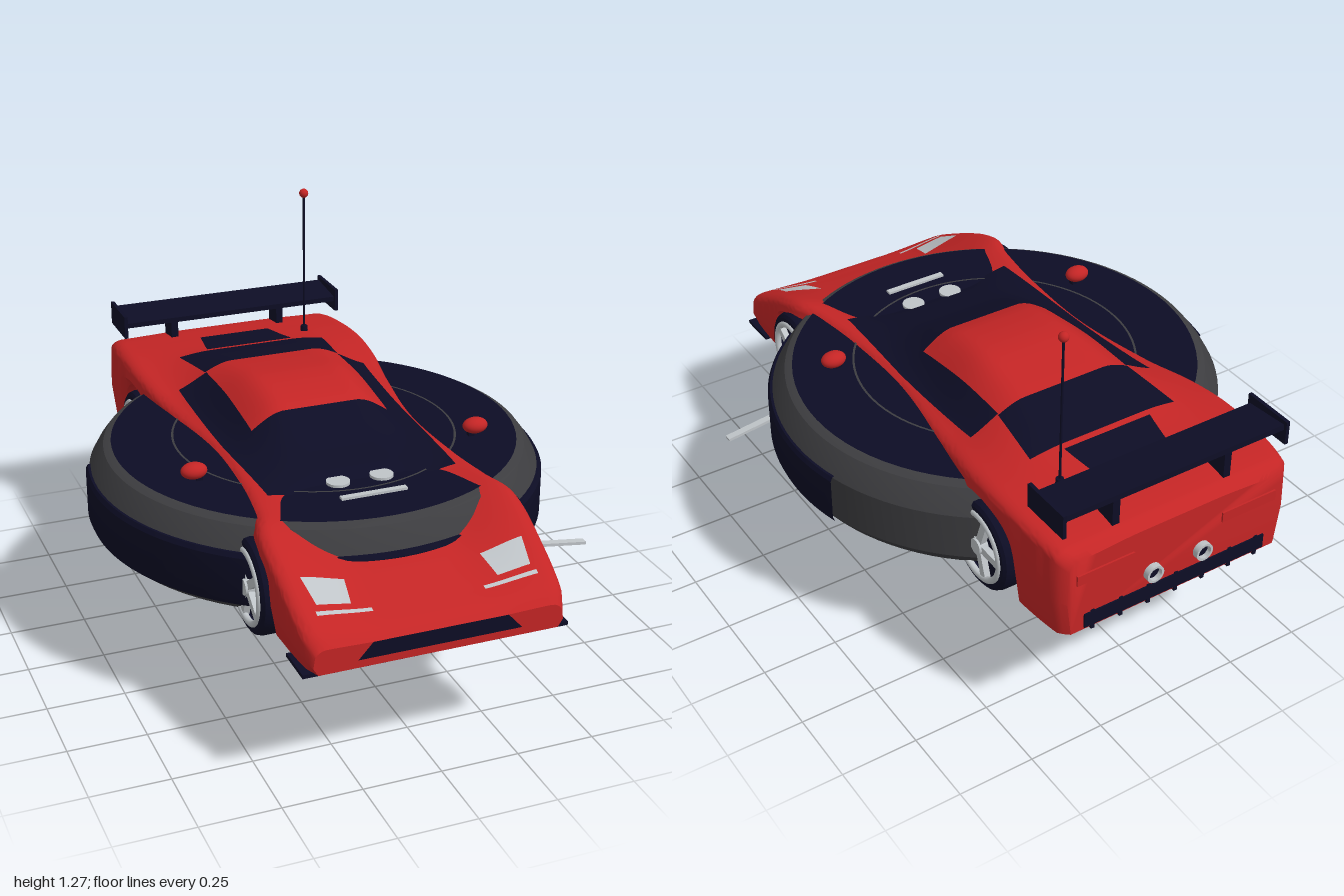
import * as THREE from 'three';
import { toCreasedNormals } from 'three/addons/utils/BufferGeometryUtils.js';

const material = (name, color, side = THREE.FrontSide) => {
  const m = new THREE.MeshStandardMaterial({ color, side });
  m.name = name;
  return m;
};

// Smooth curve through [z, value] pairs with ascending z
function profile(p) {
  const slope = (i) => {
    const a = p[Math.max(i - 1, 0)], b = p[Math.min(i + 1, p.length - 1)];
    return (b[1] - a[1]) / (b[0] - a[0]);
  };
  return (z) => {
    let i = 0;
    while (i < p.length - 2 && z > p[i + 1][0]) i++;
    const h = p[i + 1][0] - p[i][0];
    const t = THREE.MathUtils.clamp((z - p[i][0]) / h, 0, 1), t2 = t * t, t3 = t2 * t;
    return (2 * t3 - 3 * t2 + 1) * p[i][1] + (t3 - 2 * t2 + t) * h * slope(i)
      + (3 * t2 - 2 * t3) * p[i + 1][1] + (t3 - t2) * h * slope(i + 1);
  };
}

// Car shape: half width, fender height and centreline height along z
const halfWidth = profile([[-0.98, 0.385], [-0.95, 0.415], [-0.7, 0.435], [-0.5, 0.425], [-0.3, 0.395],
  [0, 0.355], [0.3, 0.36], [0.5, 0.385], [0.62, 0.415], [0.8, 0.415], [0.95, 0.405], [1, 0.385]]);
const fender = profile([[-0.98, 0.68], [-0.95, 0.71], [-0.8, 0.73], [-0.65, 0.735], [-0.5, 0.725], [-0.3, 0.702],
  [0, 0.692], [0.3, 0.692], [0.5, 0.692], [0.6, 0.688], [0.7, 0.658], [0.8, 0.612], [0.9, 0.56], [0.97, 0.52], [1, 0.49]]);
const centre = profile([[-0.98, 0.69], [-0.95, 0.715], [-0.8, 0.735], [-0.65, 0.752], [-0.5, 0.78], [-0.3, 0.815],
  [-0.15, 0.83], [0, 0.812], [0.1, 0.777], [0.2, 0.735], [0.35, 0.69], [0.45, 0.655], [0.6, 0.62], [0.74, 0.585],
  [0.8, 0.567], [0.9, 0.535], [0.97, 0.51], [1, 0.485]]);

function topY(x, z) {
  const u = Math.min(Math.abs(x) / halfWidth(z), 1), f = fender(z);
  const edge = Math.max(0, (u - 0.9) / 0.1);
  return f + (centre(z) - f) * (1 - THREE.MathUtils.smoothstep(u, 0.35, 0.95))
    - 0.03 * (1 - Math.sqrt(Math.max(0, 1 - edge * edge)));
}

function sill(z) {
  const arch = (zc, r) => Math.abs(z - zc) < r ? 0.498 + Math.sqrt(r * r - (z - zc) ** 2) : 0;
  return Math.min(Math.max(0.412, arch(0.59, 0.15), arch(-0.6, 0.168)), fender(z) - 0.055);
}

function gridGeometry(pos, idx) {
  const g = new THREE.BufferGeometry();
  g.setAttribute('position', new THREE.Float32BufferAttribute(pos, 3));
  g.setIndex(idx);
  g.computeVertexNormals();
  return g;
}

// Shell made from closed rings, front to back, with wheel arches in the lower edge
function bodyGeometry() {
  const pos = [], idx = [], rows = 140, n = 44, ring = n + 5;
  for (let i = 0; i <= rows; i++) {
    const z = 1 - 1.98 * i / rows, w = halfWidth(z), yb = sill(z), yt = topY(w, z);
    const low = [w * 0.97, yb, z], mid = [w * 1.01, (yb + yt) / 2, z];
    pos.push(...low, ...mid);
    for (let j = 0; j <= n; j++) {
      const x = w * Math.sin(Math.PI / 2 * (1 - 2 * j / n));
      pos.push(x, topY(x, z), z);
    }
    pos.push(-mid[0], mid[1], z, -low[0], low[1], z);
  }
  for (let i = 0; i < rows; i++) for (let j = 0; j < ring; j++) {
    const k = (j + 1) % ring, a = i * ring + j, b = i * ring + k;
    idx.push(a, a + ring, b, b, a + ring, b + ring);
  }
  const last = rows * ring;
  for (let j = 1; j < ring - 1; j++) idx.push(0, j, j + 1, last, last + j + 1, last + j);
  return toCreasedNormals(gridGeometry(pos, idx), 0.7);
}

// Panel lying on the car's upper surface; x ranges are given at z0 and z1
function panelGeometry(z0, z1, r0, r1, nz = 24, nx = 30) {
  const pos = [], idx = [], L = THREE.MathUtils.lerp;
  for (let i = 0; i <= nz; i++) for (let j = 0; j <= nx; j++) {
    const t = i / nz, z = L(z0, z1, t), x = L(L(r0[0], r1[0], t), L(r0[1], r1[1], t), j / nx);
    pos.push(x, topY(x, z) + 0.005, z);
    if (i < nz && j < nx) {
      const a = i * (nx + 1) + j, c = a + nx + 1;
      idx.push(a, c, a + 1, a + 1, c, c + 1);
    }
  }
  return gridGeometry(pos, idx);
}

const lathe = (pts, seg, ...arc) =>
  toCreasedNormals(new THREE.LatheGeometry(pts.map((p) => new THREE.Vector2(...p)), seg, ...arc), 0.5);

export function createModel() {
  const red = material('red paint', 0xc42525), navy = material('navy black', 0x0d0d25);
  const grey = material('dark grey', 0x3d3d40), silver = material('silver', 0xbfc4c8);
  const orange = material('orange', 0xe08a35), fin = material('pale fin', 0xc8ced2, THREE.DoubleSide);
  const orangeFin = material('orange fin', 0xe09a50, THREE.DoubleSide);

  const model = new THREE.Group();
  const root = new THREE.Group();
  root.name = 'vacuumCar';
  root.position.x = -0.015;
  model.add(root);
  const add = (name, geo, mat, x = 0, y = 0, z = 0, parent = root) => {
    const m = new THREE.Mesh(geo, mat);
    m.name = name;
    m.position.set(x, y, z);
    parent.add(m);
    return m;
  };
  const box = (w, h, d) => new THREE.BoxGeometry(w, h, d);
  const ball = (rx, ry, rz) => new THREE.SphereGeometry(1, 28, 18).scale(rx, ry, rz);
  const plate = (pts) => new THREE.ShapeGeometry(new THREE.Shape(pts.map((p) => new THREE.Vector2(...p))));

  // Car shell and glass
  add('carBody', bodyGeometry(), red);
  add('windscreen', panelGeometry(0.06, 0.42, [-0.325, 0.325], [-0.31, 0.31]), navy);
  add('rearWindow', panelGeometry(-0.6, -0.39, [-0.265, 0.265], [-0.24, 0.24]), navy);
  add('engineCover', panelGeometry(-0.79, -0.62, [-0.127, 0.127], [-0.157, 0.157]), navy);
  for (const s of [-1, 1]) {
    const side = (a, b) => s > 0 ? [a, b] : [-b, -a];
    add('sideWindow', panelGeometry(-0.385, 0.065, side(0.237, 0.335), side(0.233, 0.325)), navy);
    add('headlight', panelGeometry(0.795, 0.885, side(0.215, 0.35), side(0.23, 0.335)), silver);
    add('lightBar', panelGeometry(0.905, 0.918, side(0.175, 0.345), side(0.175, 0.345)), silver);
    add('mirror', ball(0.042, 0.026, 0.032), red, s * 0.475, 0.715, 0.215);
    add('mirrorStalk', box(0.02, 0.03, 0.02), navy, s * 0.46, 0.69, 0.215);
    add('tailLight', box(0.2, 0.035, 0.012), red, s * 0.26, 0.61, -0.98);
    add('exhaust', lathe([[0.02, -0.03], [0.03, -0.03], [0.03, 0.03], [0.022, 0.03], [0.022, 0]], 24)
      .rotateX(-Math.PI / 2), silver, s * 0.09, 0.52, -0.97);
    add('exhaustBore', new THREE.CircleGeometry(0.023, 24).rotateY(Math.PI), navy, s * 0.09, 0.52, -0.985);
    add('wingEndPlate', box(0.012, 0.08, 0.175), navy, s * 0.397, 0.813, -0.88);
    add('wingSupport', box(0.025, 0.1, 0.08), navy, s * 0.2, 0.765, -0.9);
  }
  add('wing', box(0.79, 0.018, 0.155), navy, 0, 0.823, -0.88).rotation.x = 0.1;
  add('grille', plate([[-0.255, 0.438], [0.255, 0.438], [0.21, 0.488], [-0.21, 0.488]]), navy, 0, 0, 1.003);
  add('splitter', box(0.83, 0.012, 0.13), navy, 0, 0.408, 0.92);
  add('diffuser', box(0.66, 0.05, 0.11), navy, 0, 0.445, -0.93);
  for (let i = -3; i <= 3; i++) add('diffuserFin', box(0.012, 0.07, 0.13), navy, i * 0.1, 0.44, -0.92);

  // Antenna
  add('antennaBase', new THREE.CylinderGeometry(0.012, 0.014, 0.03, 16), navy, 0.245, 0.745, -0.725);
  add('antennaRod', new THREE.CylinderGeometry(0.004, 0.004, 0.52, 10), navy, 0.245, 0.99, -0.725);
  add('antennaTip', ball(0.016, 0.016, 0.016), red, 0.245, 1.252, -0.725);

  // Road wheels
  const tyre = lathe([[0, -0.07], [0.13, -0.0725], [0.145, -0.065], [0.15, -0.05], [0.15, 0.05], [0.145, 0.065],
    [0.135, 0.0725], [0.116, 0.0725], [0.116, 0.05], [0, 0.05]], 48);
  for (const s of [-1, 1]) for (const z of [0.59, -0.59]) {
    const wheel = new THREE.Group();
    wheel.name = z > 0 ? 'frontWheel' : 'rearWheel';
    wheel.position.set(s * 0.368, 0.498, z);
    wheel.rotation.z = -s * Math.PI / 2;
    root.add(wheel);
    add('tyre', tyre, navy, 0, 0, 0, wheel);
    add('rim', new THREE.TorusGeometry(0.112, 0.011, 10, 40).rotateX(Math.PI / 2), silver, 0, 0.07, 0, wheel);
    add('hub', new THREE.CylinderGeometry(0.026, 0.03, 0.03, 20), silver, 0, 0.068, 0, wheel);
    for (let k = 0; k < 5; k++)
      add('spoke', box(0.105, 0.02, 0.026).translate(0.056, 0, 0), silver, 0, 0.066, 0, wheel)
        .rotation.y = k * Math.PI * 0.4 + 0.3;
  }

  // Round vacuum cleaner
  add('vacuumBody', lathe([[0, 0.4], [0.695, 0.4], [0.725, 0.44], [0.727, 0.595], [0.705, 0.635], [0.68, 0.668],
    [0.652, 0.68], [0, 0.68]], 96), grey);
  add('bumper', lathe([[0.72, 0.43], [0.731, 0.43], [0.739, 0.45], [0.739, 0.588], [0.731, 0.602], [0.715, 0.602]],
    80, -Math.PI / 2 - 0.26, Math.PI + 0.52), navy);
  add('topCover', new THREE.CircleGeometry(0.655, 80).rotateX(-Math.PI / 2), navy, 0, 0.682, 0);
  add('coverSeam', new THREE.RingGeometry(0.454, 0.461, 80).rotateX(-Math.PI / 2), grey, 0, 0.684, 0);
  for (const s of [-1, 1]) {
    add('button', new THREE.CylinderGeometry(0.037, 0.037, 0.009, 32), silver, s * 0.072, 0.686, 0.392);
    add('driveWheel', new THREE.CylinderGeometry(0.1, 0.1, 0.09, 32).rotateZ(Math.PI / 2), navy, s * 0.505, 0.447, -0.02);
  }
  add('statusBar', box(0.215, 0.008, 0.02), silver, 0, 0.686, 0.502);

  // Three-armed side brush
  const brush = new THREE.Group();
  brush.name = 'sideBrush';
  brush.position.set(0.435, 0.4, 0.46);
  root.add(brush);
  add('brushHub', new THREE.CylinderGeometry(0.04, 0.03, 0.02, 20), grey, 0, -0.005, 0, brush);
  for (let k = 0; k < 3; k++) {
    const arm = add('brushArm', box(0.32, 0.01, 0.025).translate(0.17, 0, 0), silver, 0, 0, 0, brush);
    arm.rotation.set(0, k * Math.PI * 2 / 3, -0.13, 'YZX');
  }

  // Goldfish hanging below
  const fish = new THREE.Group();
  fish.name = 'goldfish';
  root.add(fish);
  add('fishBody', ball(0.06, 0.068, 0.145), orange, 0, 0.337, 0.018, fish);
  add('fishBelly', ball(0.018, 0.042, 0.088), fin, 0, 0.268, 0.012, fish);
  for (const s of [-1, 1]) {
    add('fishEye', ball(0.008, 0.018, 0.018), fin, s * 0.05, 0.362, 0.1, fish);
    add('fishPupil', ball(0.006, 0.009, 0.009), navy, s * 0.056, 0.362, 0.102, fish);
  }
  // Flat fins, outlined in (z, y)
  const flat = (name, pts, mat) => add(name, plate(pts).rotateY(-Math.PI / 2), mat, 0, 0, 0, fish);
  flat('frontFin', [[0.062, 0.24], [0.03, 0.23], [0.042, 0.03]], fin);
  flat('rearFin', [[0.005, 0.19], [-0.03, 0.255], [-0.11, 0.265], [-0.085, 0], [-0.07, 0.01]], fin);
  flat('finRoot', [[0.04, 0.24], [-0.05, 0.27], [0.01, 0.19]], orangeFin);
  flat('tailRoot', [[-0.1, 0.345], [-0.2, 0.405], [-0.275, 0.395], [-0.235, 0.33], [-0.26, 0.27], [-0.2, 0.3]], orangeFin);
  flat('tailTipUpper', [[-0.235, 0.33], [-0.275, 0.395], [-0.29, 0.38], [-0.262, 0.325], [-0.312, 0.238], [-0.285, 0.238]], fin);
  flat('tailTipLower', [[-0.13, 0.33], [-0.2, 0.3], [-0.235, 0.24], [-0.14, 0.29]], fin);
  return model;
}
